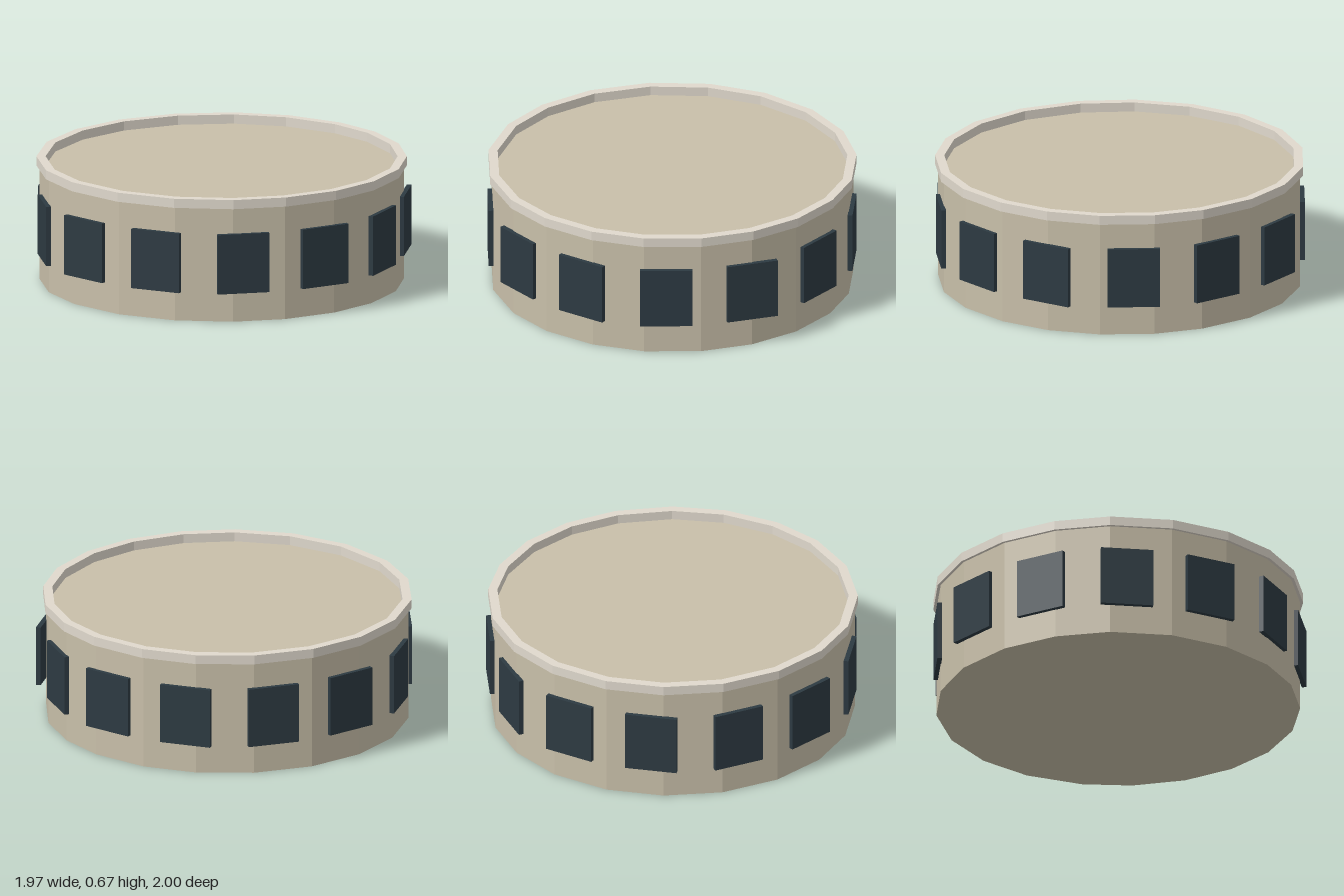
import * as THREE from 'three';

const RAD = Math.PI / 180;

// Slightly uneven corner angles of the twenty-sided drum, seen from above
const CORNERS = [-172, -153.5, -135.9, -116.2, -96.9, -78.4, -61.6, -43.9, -26.9, -9,
  7.9, 24.8, 42, 57.9, 76.5, 94, 112.4, 131.6, 150, 168.8];

const ring = (r) => CORNERS.map((a) => new THREE.Vector2(r * Math.cos(a * RAD), r * Math.sin(a * RAD)));

// Upright prism with an optional hole through it
function prism(outer, inner, y0, y1) {
  const shape = new THREE.Shape(ring(outer));
  if (inner) shape.holes.push(new THREE.Path(ring(inner).reverse()));
  const geo = new THREE.ExtrudeGeometry(shape, { depth: y1 - y0, bevelEnabled: false });
  return geo.rotateX(-Math.PI / 2).translate(0, y0, 0);
}

export function createModel() {
  const group = new THREE.Group();
  group.name = 'roundBuilding';
  const wallMat = new THREE.MeshStandardMaterial({ color: 0xc8bfa9, flatShading: true });
  const rimMat = new THREE.MeshStandardMaterial({ color: 0xe0d9cd, flatShading: true });
  const glassMat = new THREE.MeshStandardMaterial({ color: 0x2d3a42, flatShading: true });

  const add = (name, geo, mat, parent = group) => {
    const mesh = new THREE.Mesh(geo, mat);
    mesh.name = name;
    parent.add(mesh);
  };

  // Drum body with flat roof, and the raised parapet around it
  add('drumWall', prism(0.97, 0, 0, 0.62), wallMat);
  add('parapetRim', prism(0.986, 0.937, 0.62, 0.67), rimMat);

  // Thirteen evenly spaced windows, each lying flat on the facet under its centre
  const windows = new THREE.Group();
  windows.name = 'windows';
  group.add(windows);
  for (let k = 0; k < 13; k++) {
    const angle = -158.4 + (k * 360) / 13;
    const i = CORNERS.findLastIndex((c) => c <= angle);
    const next = i + 1 < CORNERS.length ? CORNERS[i + 1] : CORNERS[0] + 360;
    const facing = (CORNERS[i] + next) / 2;
    const slide = 0.958 * Math.tan((angle - facing) * RAD);
    const pane = new THREE.BoxGeometry(0.28, 0.325, 0.026);
    pane.translate(slide, 0.32, 0.968).rotateY((facing + 90) * RAD);
    add('window', pane, glassMat, windows);
  }

  group.position.set(-0.003, 0, -0.002);
  return group;
}
